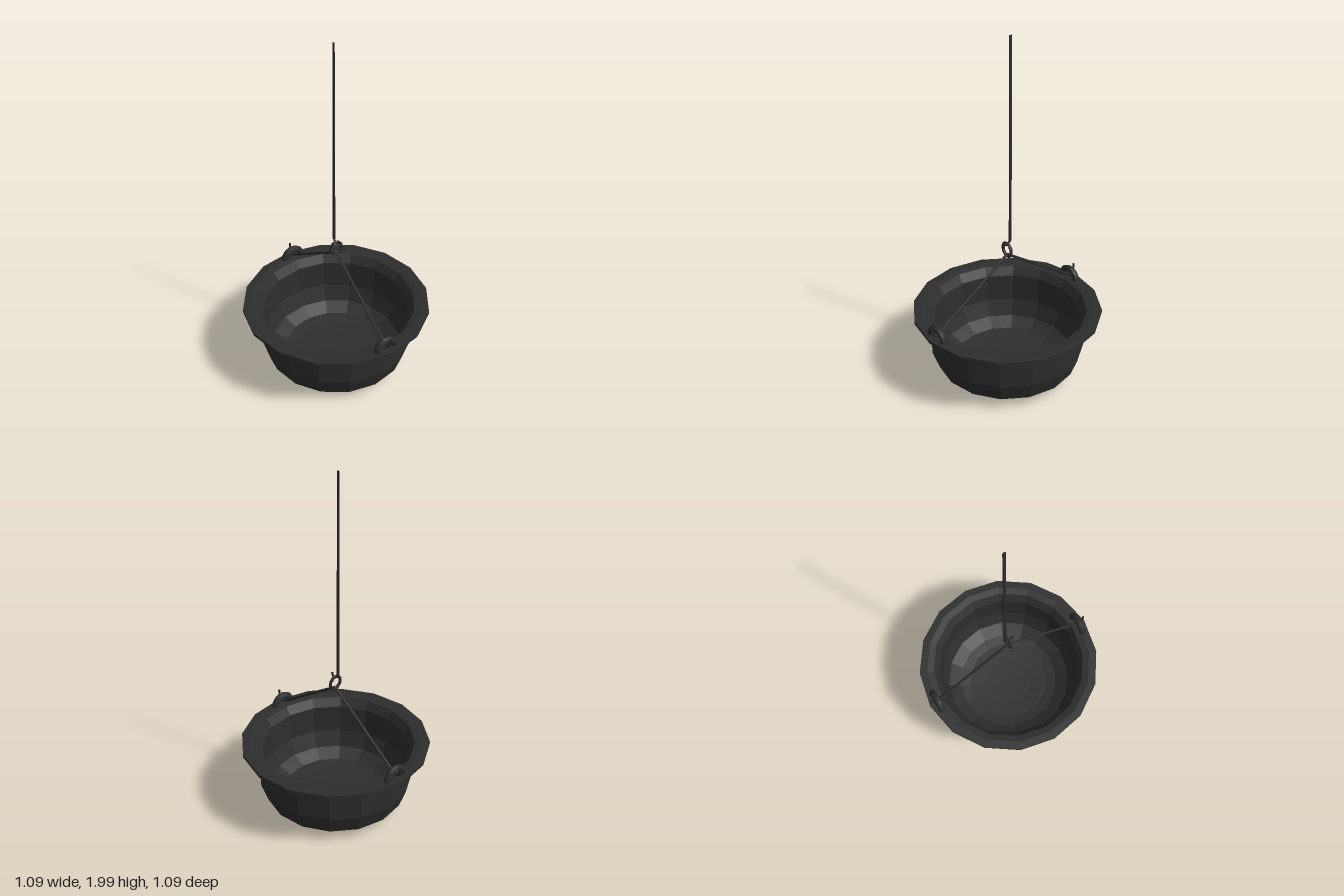
import * as THREE from 'three';

const iron = new THREE.MeshStandardMaterial({ color: 0x2d2d2d, flatShading: true, side: THREE.DoubleSide });
iron.name = 'cast iron';

const v = (x, y, z) => new THREE.Vector3(x, y, z);

function add(parent, name, geometry) {
  const mesh = new THREE.Mesh(geometry, iron);
  mesh.name = name;
  parent.add(mesh);
  return mesh;
}

// Straight bar between two points, tapering from rA to rB
function bar(parent, name, a, b, rA, rB = rA) {
  const dir = b.clone().sub(a);
  const mesh = add(parent, name, new THREE.CylinderGeometry(rB, rA, dir.length(), 6));
  mesh.position.copy(a).add(b).multiplyScalar(0.5);
  mesh.quaternion.setFromUnitVectors(v(0, 1, 0), dir.normalize());
  return mesh;
}

// Bent end of a bar
function hook(parent, name, points, radius) {
  const curve = new THREE.CatmullRomCurve3(points, false, 'centripetal');
  return add(parent, name, new THREE.TubeGeometry(curve, 8, radius, 6));
}

export function createModel() {
  const model = new THREE.Group();
  model.name = 'hangingCauldron';

  // Pot: up the outside, over the rim, down the inside
  const profile = [
    [0, 0.008], [0.15, 0.011], [0.335, 0.026], [0.412, 0.08], [0.45, 0.19],
    [0.455, 0.345], [0.468, 0.375], [0.495, 0.392], [0.545, 0.41], [0.545, 0.428],
    [0.5, 0.428], [0.46, 0.42], [0.427, 0.37], [0.422, 0.2], [0.385, 0.1],
    [0.31, 0.055], [0.25, 0.044], [0.15, 0.038], [0, 0.034],
  ].map(([r, y]) => new THREE.Vector2(r, y));
  add(model, 'pot', new THREE.LatheGeometry(profile, 16));

  // Lifting side: lug on the rim, bail bar and its hooked end
  for (const s of [1, -1]) {
    const side = new THREE.Group();
    side.name = s > 0 ? 'frontBail' : 'backBail';
    model.add(side);

    const lug = add(side, 'lug', new THREE.TorusGeometry(0.058, 0.02, 8, 10, Math.PI));
    lug.position.set(0, 0.425, s * 0.495);

    bar(side, 'bailBar', v(0, 0.768, 0), v(0, 0.455, s * 0.475), 0.008);
    hook(side, 'bailHook', [
      v(0, 0.457, s * 0.472), v(0, 0.447, s * 0.495), v(0, 0.456, s * 0.518),
      v(0, 0.478, s * 0.528), v(0, 0.505, s * 0.53),
    ], 0.007);
  }

  // Joining ring
  const ring = add(model, 'ring', new THREE.TorusGeometry(0.036, 0.009, 6, 8));
  ring.rotation.z = Math.PI / 8;
  ring.geometry.rotateZ(0);
  ring.scale.set(1, 1.12, 1);
  ring.position.y = 0.797;

  // Long hanging rod, thinner across x toward the top
  const rod = add(model, 'hangingRod', new THREE.CylinderGeometry(0.009, 0.009, 1.15, 8, 4));
  const p = rod.geometry.attributes.position;
  for (let i = 0; i < p.count; i++) {
    const t = p.getY(i) / 1.15 + 0.5;
    p.setX(i, p.getX(i) * (0.85 - 0.5 * t));
  }
  rod.position.set(0, 1.425, -0.022);
  hook(model, 'rodHook', [
    v(0, 0.87, -0.022), v(0, 0.85, -0.021), v(0, 0.834, -0.006),
    v(0, 0.832, 0.01), v(0, 0.838, 0.021), v(0, 0.852, 0.027),
  ], 0.007);

  return model;
}
